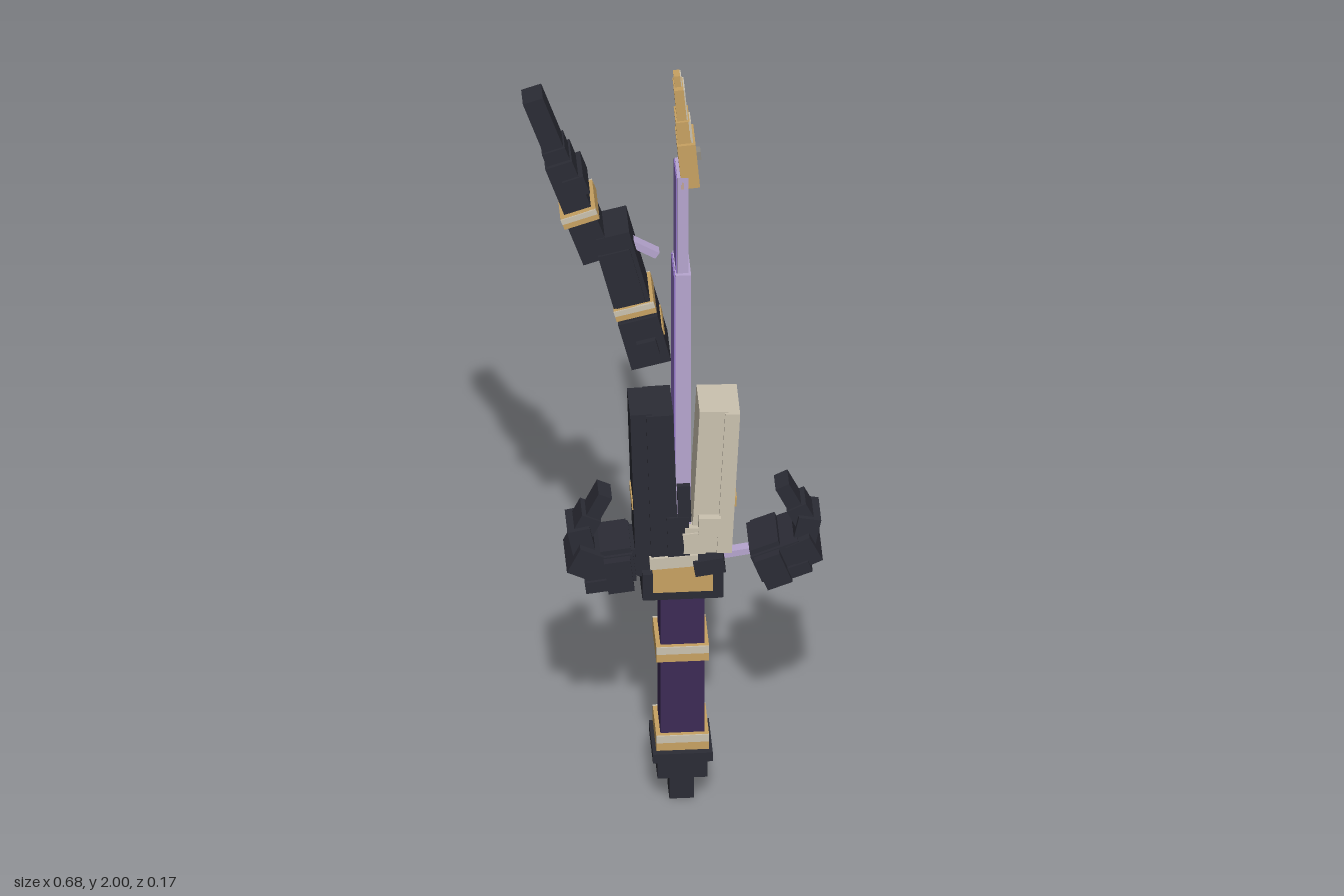
import * as THREE from 'three';

const mat = (name, color) => {
  const m = new THREE.MeshStandardMaterial({ color });
  m.name = name;
  return m;
};

export function createModel() {
  const dark = mat('charcoal', 0x2b2c35);
  const gold = mat('gold', 0xc8a262);
  const cream = mat('cream', 0xcbc2b0);
  const grip = mat('deep purple', 0x3c2b55);
  const lavender = mat('lavender', 0xb7a6d0);
  const violet = mat('violet', 0x8f72c4);
  const grey = mat('grey', 0x8f8c84);

  const model = new THREE.Group();
  model.name = 'sword';

  // Box by centre and size, turned about z
  const box = (parent, name, m, [x, y, z], [w, h, d], rz = 0) => {
    const mesh = new THREE.Mesh(new THREE.BoxGeometry(w, h, d), m);
    mesh.name = name;
    mesh.position.set(x, y, z);
    mesh.rotation.z = rz;
    parent.add(mesh);
    return mesh;
  };
  const group = (name, x, y, rz = 0, parent = model) => {
    const g = new THREE.Group();
    g.name = name;
    g.position.set(x, y, 0);
    g.rotation.z = rz;
    parent.add(g);
    return g;
  };
  // Gold band with cream plates on the upper front and back
  const band = (parent, y, w, d, h = 0.042) => {
    box(parent, 'band', gold, [0, y, 0], [w, h, d]);
    for (const s of [-1, 1])
      box(parent, 'bandTrim', cream, [0, y + h * 0.27, s * d / 2], [w, h * 0.46, 0.006]);
  };

  // Pommel and handle
  const handle = group('handle', 0.016, 0);
  box(handle, 'pommelTip', dark, [0, 0.045, 0], [0.056, 0.09, 0.056]);
  box(handle, 'pommelBody', dark, [0, 0.105, 0], [0.114, 0.055, 0.114]);
  box(handle, 'pommelCap', dark, [0, 0.14, 0], [0.136, 0.024, 0.136]);
  box(handle, 'grip', grip, [0, 0.37, 0], [0.1, 0.44, 0.1]);
  band(handle, 0.178, 0.12, 0.12);
  band(handle, 0.424, 0.12, 0.12);

  // Collar
  const collar = group('collar', 0.016, 0);
  box(collar, 'collarBase', dark, [0, 0.593, 0], [0.18, 0.026, 0.13]);
  box(collar, 'collarCore', gold, [0, 0.635, 0], [0.138, 0.07, 0.13]);
  for (const s of [-1, 1])
    box(collar, 'collarCheek', dark, [s * 0.08, 0.62, 0], [0.024, 0.07, 0.14]);
  box(collar, 'collarTop', cream, [-0.02, 0.684, 0], [0.11, 0.03, 0.135], 0.06);
  box(collar, 'collarClasp', dark, [0.06, 0.672, 0.03], [0.07, 0.04, 0.09], 0.15);

  // Blade, with a violet face on the inner side
  const blade = group('blade', 0.018, 0);
  box(blade, 'lowerBlade', lavender, [0, 1.08, 0], [0.036, 0.78, 0.1]);
  box(blade, 'lowerBladeFace', violet, [-0.018, 1.08, 0], [0.006, 0.77, 0.098]);
  box(blade, 'upperBlade', lavender, [0, 1.6, 0], [0.026, 0.27, 0.082]);
  box(blade, 'upperBladeFace', violet, [-0.013, 1.6, 0], [0.005, 0.265, 0.08]);

  // Stepped tip, slightly tilted
  const tip = group('tip', 0.036, 1.705, 0.085);
  box(tip, 'tipBase', gold, [0, 0.06, 0], [0.042, 0.12, 0.082]);
  box(tip, 'tipMiddle', gold, [-0.003, 0.14, 0], [0.032, 0.08, 0.066]);
  box(tip, 'tipUpper', gold, [-0.004, 0.215, 0], [0.022, 0.1, 0.054]);
  box(tip, 'tipPoint', gold, [-0.005, 0.27, 0], [0.015, 0.05, 0.026]);
  box(tip, 'tipPlate', cream, [0.013, 0.145, 0.014], [0.006, 0.07, 0.038]);
  box(tip, 'tipPlate', cream, [0.007, 0.216, 0], [0.006, 0.096, 0.052]);
  box(tip, 'tipPlate', cream, [0.003, 0.27, 0], [0.004, 0.048, 0.025]);
  box(tip, 'gem', grey, [0.024, 0.066, 0], [0.014, 0.022, 0.022]);

  // Broken-off dark blade leaning away
  const lower = group('shardLower', -0.055, 1.23, 0.24);
  box(lower, 'shardBody', dark, [0, 0.185, 0], [0.078, 0.37, 0.105]);
  box(lower, 'shardFoot', dark, [0, 0.065, 0], [0.092, 0.13, 0.12]);
  box(lower, 'shardStud', dark, [0.005, 0.055, 0], [0.045, 0.04, 0.148]);
  box(lower, 'shardShell', dark, [-0.008, 0.25, 0], [0.074, 0.15, 0.114]);
  box(lower, 'shardInlay', gold, [0.046, 0.075, 0], [0.006, 0.02, 0.09]);
  band(lower, 0.155, 0.094, 0.12, 0.03);
  box(model, 'shardPeg', lavender, [-0.07, 1.52, 0], [0.075, 0.018, 0.024], -0.55);

  const upper = group('shardUpper', -0.177, 1.525, 0.325);
  box(upper, 'shardUpperBody', dark, [0, 0.06, 0], [0.07, 0.13, 0.1]);
  box(upper, 'shardNeck', dark, [0, 0.2, 0], [0.064, 0.15, 0.088]);
  box(upper, 'shardNotch', dark, [0.018, 0.205, 0], [0.05, 0.05, 0.1]);
  box(upper, 'shardEnd', dark, [0, 0.35, 0], [0.048, 0.21, 0.058]);
  box(upper, 'shardEndSleeve', dark, [0, 0.285, 0], [0.055, 0.05, 0.07]);
  band(upper, 0.125, 0.084, 0.116, 0.03);

  // Dark half of the blade housing
  const darkHalf = group('darkHousing', -0.042, 0.69, 0.03);
  box(darkHalf, 'outerSlab', dark, [-0.024, 0.2, 0], [0.05, 0.4, 0.108]);
  box(darkHalf, 'innerSlab', dark, [0.018, 0.2, 0], [0.062, 0.395, 0.12]);
  box(darkHalf, 'tooth', dark, [0.05, 0.055, 0], [0.05, 0.12, 0.13]);
  box(darkHalf, 'tooth', dark, [0.066, 0.15, 0], [0.03, 0.1, 0.126]);
  box(darkHalf, 'inlay', gold, [-0.046, 0.14, 0], [0.012, 0.025, 0.08]);

  // Cream half of the blade housing
  const creamHalf = group('creamHousing', 0.072, 0.69, -0.05);
  box(creamHalf, 'innerSlab', cream, [-0.004, 0.205, 0], [0.066, 0.39, 0.108]);
  box(creamHalf, 'outerSlab', cream, [0.038, 0.205, 0], [0.034, 0.385, 0.12]);
  box(creamHalf, 'step', cream, [-0.03, 0.05, 0.005], [0.05, 0.07, 0.125]);
  box(creamHalf, 'step', cream, [0.0, 0.09, 0.01], [0.05, 0.05, 0.124]);
  box(creamHalf, 'sidePlate', cream, [0.05, 0.1, -0.01], [0.016, 0.1, 0.08]);
  box(creamHalf, 'inlay', gold, [0.055, 0.14, 0], [0.012, 0.025, 0.08]);
  box(model, 'backPlate', cream, [0.022, 0.735, -0.072], [0.09, 0.085, 0.032], 0.5);
  box(model, 'frontBlock', cream, [0.04, 0.74, 0.06], [0.045, 0.05, 0.022], 0.1);

  // Hooked guard arms, mirrored with different lean
  const arm = (name, s, x, y, lean) => {
    const g = group(name, x, y);
    g.scale.x = s;
    const fist = group('fist', 0, 0, lean, g);
    box(fist, 'block', dark, [0, 0, 0], [0.115, 0.075, 0.125]);
    box(fist, 'knuckle', dark, [-0.02, -0.008, 0], [0.06, 0.085, 0.165]);
    box(fist, 'lowerPad', dark, [0.01, -0.035, 0], [0.1, 0.03, 0.14]);
    box(fist, 'upperPad', dark, [-0.02, 0.035, 0], [0.07, 0.03, 0.11]);
    box(g, 'wrist', dark, [0.055, 0.02, 0], [0.06, 0.07, 0.13], 0.45);
    box(g, 'elbow', dark, [0.062, 0.066, 0], [0.052, 0.075, 0.092], -0.2);
    box(g, 'hornBase', dark, [0.05, 0.105, 0], [0.048, 0.05, 0.07], 0.45);
    box(g, 'horn', dark, [0.026, 0.145, 0], [0.034, 0.085, 0.058], 0.45);
  };
  arm('leftGuardArm', 1, 0.237, 0.672, 0.36);
  arm('rightGuardArm', -1, -0.15, 0.665, -0.12);
  box(model, 'armLink', lavender, [0.135, 0.663, 0], [0.09, 0.016, 0.024], 0.15);
  box(model, 'rightArmRoot', dark, [-0.085, 0.675, 0], [0.06, 0.07, 0.1], -0.2);

  return model;
}
